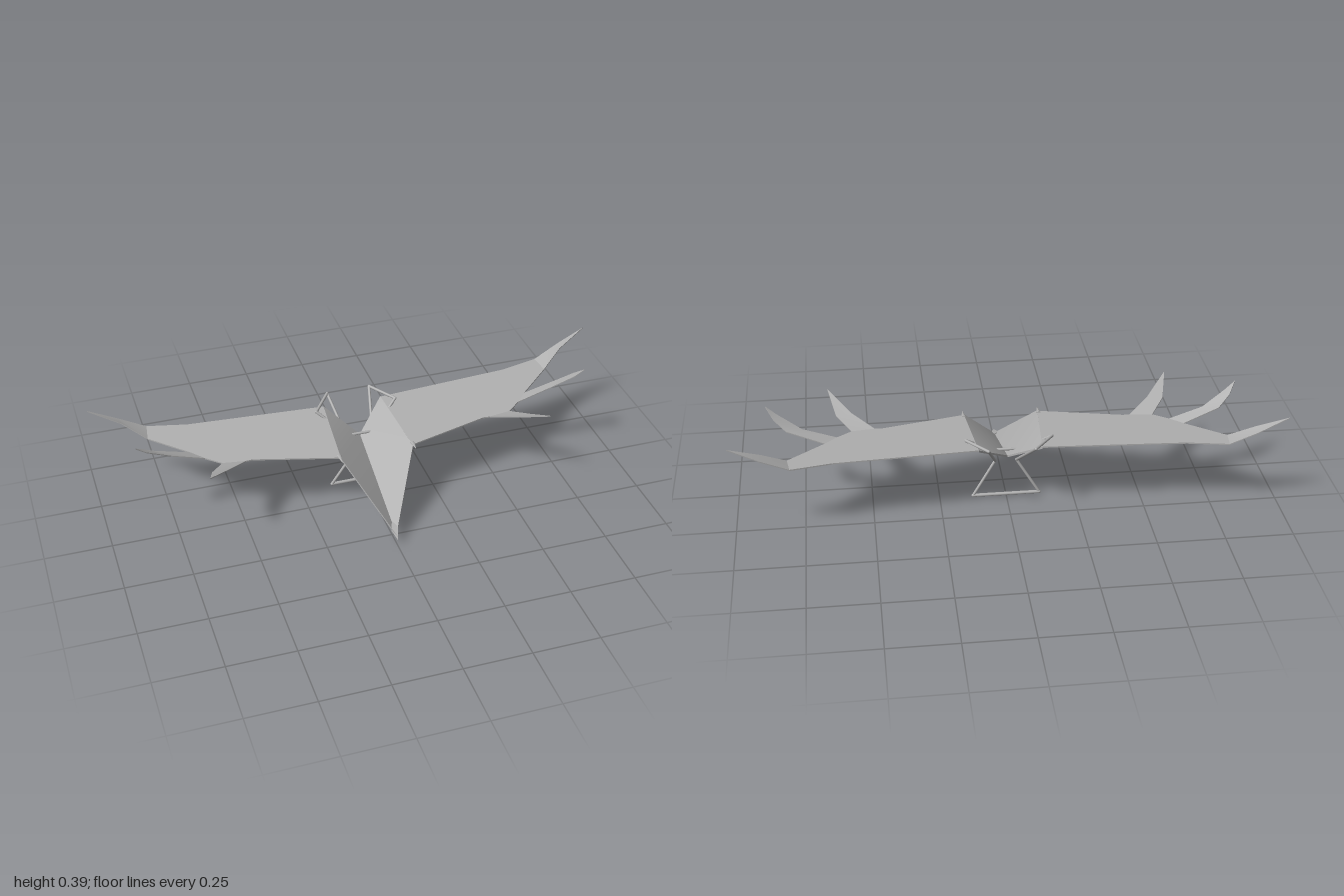
import * as THREE from 'three';

const grey = new THREE.MeshStandardMaterial({ color: 0xb0b0b0, side: THREE.DoubleSide });
grey.name = 'grey';

// Thin plate from a 3D outline; top and bottom are smooth, the rim is sharp
function plate(name, outline, faces, thickness, side) {
  const pts = outline.map(([x, y, z]) => [x * side, y, z]);
  const pos = [];
  const index = [];
  const n = pts.length;
  const low = ([x, y, z]) => [x, y - thickness, z];
  pts.forEach((p) => pos.push(...p));
  pts.forEach((p) => pos.push(...low(p)));
  faces.forEach(([a, b, c]) => {
    const [A, B, C] = [pts[a], pts[b], pts[c]];
    const up = (B[2] - A[2]) * (C[0] - A[0]) - (B[0] - A[0]) * (C[2] - A[2]) > 0;
    const [p, q, r] = up ? [a, b, c] : [a, c, b];
    index.push(p, q, r, p + n, r + n, q + n);
  });
  pts.forEach((p, i) => {
    const q = pts[(i + 1) % n];
    const k = pos.length / 3;
    pos.push(...p, ...q, ...low(q), ...low(p));
    index.push(k, k + 1, k + 2, k, k + 2, k + 3);
  });
  const geo = new THREE.BufferGeometry();
  geo.setAttribute('position', new THREE.Float32BufferAttribute(pos, 3));
  geo.setIndex(index);
  geo.computeVertexNormals();
  const mesh = new THREE.Mesh(geo, grey);
  mesh.name = name;
  return mesh;
}

// Plate whose points zigzag between its two edges
function strip(name, zigzag, thickness, side) {
  const order = zigzag.map((_, i) => i);
  const ring = [...order.filter((i) => i % 2 === 0), ...order.filter((i) => i % 2).reverse()];
  const at = (i) => ring.indexOf(i);
  const faces = order.slice(2).map((i) => [at(i - 2), at(i - 1), at(i)]);
  return plate(name, ring.map((i) => zigzag[i]), faces, thickness, side);
}

// Jointed rod through a list of points
function rod(name, points, radius, side = 1) {
  const group = new THREE.Group();
  group.name = name;
  const v = points.map(([x, y, z]) => new THREE.Vector3(x * side, y, z));
  v.forEach((p, i) => {
    const joint = new THREE.Mesh(new THREE.SphereGeometry(radius, 10, 8), grey);
    joint.position.copy(p);
    group.add(joint);
    if (i === 0) return;
    const d = p.clone().sub(v[i - 1]);
    const bar = new THREE.Mesh(new THREE.CylinderGeometry(radius, radius, d.length(), 10), grey);
    bar.position.copy(p).add(v[i - 1]).multiplyScalar(0.5);
    bar.quaternion.setFromUnitVectors(new THREE.Vector3(0, 1, 0), d.normalize());
    group.add(bar);
  });
  return group;
}

// Wing surface rises gently towards the back
const wingY = (z) => 0.261 - 0.075 * z;

export function createModel() {
  const model = new THREE.Group();
  model.name = 'glider';

  const wingOutline = [
    [0.115, -0.248], [0.64, -0.283], [0.79, -0.315], [0.8, -0.24], [0.665, -0.118],
    [0.62, -0.07], [0.565, -0.025], [0.48, -0.013], [0.455, -0.015], [0.14, 0.065],
  ];
  const wingFaces = THREE.ShapeUtils.triangulateShape(
    wingOutline.map(([x, z]) => new THREE.Vector2(x, z)), []);

  for (const side of [1, -1]) {
    const label = side > 0 ? 'left' : 'right';

    // V-shaped body half
    model.add(strip(label + 'BodyPanel', [
      [0, 0.038, 0.3], [0, 0.193, -0.148], [0.14, 0.256, 0.07], [0.115, 0.28, -0.25],
    ], 0.008, side));

    // Wing and its three upturned feathers
    model.add(plate(label + 'Wing',
      wingOutline.map(([x, z]) => [x, wingY(z), z]), wingFaces, 0.005, side));
    model.add(strip(label + 'FrontFeather', [
      [0.565, wingY(-0.025), -0.025], [0.48, wingY(-0.013), -0.013],
      [0.62, 0.289, 0.055], [0.56, 0.291, 0.06], [0.648, 0.345, 0.165],
    ], 0.004, side));
    model.add(strip(label + 'MiddleFeather', [
      [0.665, wingY(-0.118), -0.118], [0.62, wingY(-0.07), -0.07],
      [0.8, 0.318, -0.1], [0.745, 0.307, -0.066],
      [0.845, 0.355, -0.07], [0.835, 0.36, -0.038], [0.873, 0.39, -0.03],
    ], 0.004, side));
    model.add(strip(label + 'RearFeather', [
      [0.79, wingY(-0.315), -0.315], [0.8, wingY(-0.24), -0.24],
      [0.89, 0.332, -0.327], [0.885, 0.335, -0.287], [1, 0.387, -0.328],
    ], 0.004, side));

    // Small spike at the front wing root
    const spike = new THREE.Mesh(new THREE.ConeGeometry(0.009, 0.05, 8), grey);
    spike.name = label + 'RootSpike';
    spike.rotation.x = Math.PI / 2;
    spike.scale.z = 0.5;
    spike.position.set(0.143 * side, 0.256, 0.075);
    model.add(spike);

    // Strut folding over the wing and down to the foot
    model.add(rod(label + 'Strut', [
      [0.05, 0.21, -0.13], [0.158, 0.295, -0.198], [0.085, 0.302, -0.3],
      [0.04, 0.145, -0.1], [0.125, 0.007, -0.113],
    ], 0.0055, side));
  }

  // Cross bars
  model.add(rod('upperBar', [[-0.05, 0.21, -0.13], [0.05, 0.21, -0.13]], 0.0055));
  model.add(rod('footBar', [[-0.125, 0.007, -0.113], [0.125, 0.007, -0.113]], 0.0065));

  // Two slivers forming the pointed nose
  model.add(strip('upperBeak', [
    [0, 0.043, 0.32], [-0.013, 0.057, 0.275], [0.013, 0.057, 0.275], [0, 0.062, 0.25],
  ], 0.003, 1));
  model.add(strip('lowerBeak', [
    [0, 0.028, 0.32], [-0.012, 0.045, 0.28], [0.012, 0.045, 0.28], [0, 0.05, 0.25],
  ], 0.003, 1));

  return model;
}
